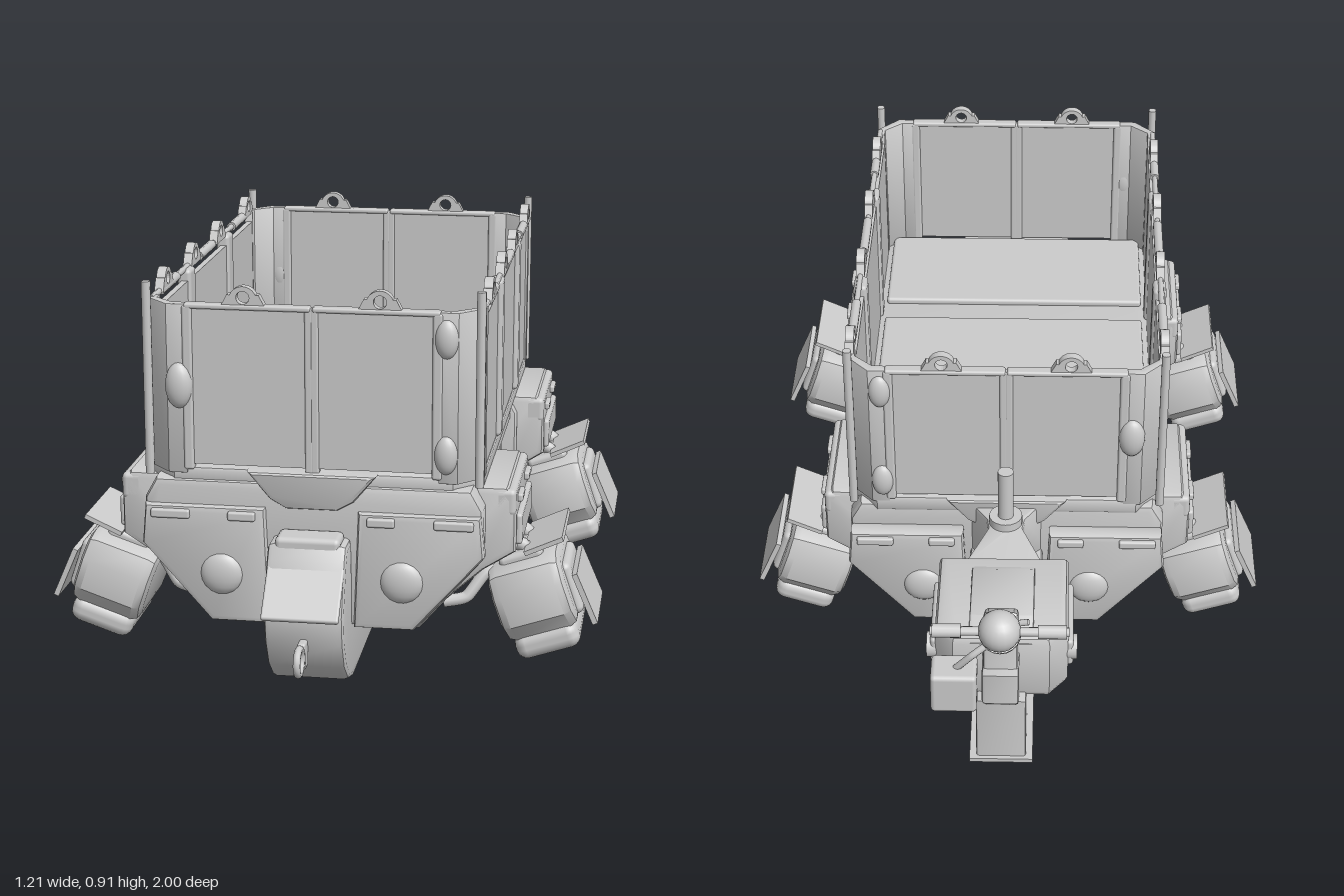
import * as THREE from 'three';
import { toCreasedNormals } from 'three/addons/utils/BufferGeometryUtils.js';
import { RoundedBoxGeometry } from 'three/addons/geometries/RoundedBoxGeometry.js';

const mat = new THREE.MeshStandardMaterial({ color: 0xcccccc, side: THREE.DoubleSide });
const V = (x, y, z) => new THREE.Vector3(x, y, z);

function add(parent, name, geo, x = 0, y = 0, z = 0) {
  const m = new THREE.Mesh(geo, mat);
  m.name = name;
  m.position.set(x, y, z);
  parent.add(m);
  return m;
}
const box = (w, h, d) => new THREE.BoxGeometry(w, h, d);
const rbox = (w, h, d, r = 0.012) => new RoundedBoxGeometry(w, h, d, 2, r);
const cyl = (r, h, r2 = r, n = 20) => new THREE.CylinderGeometry(r, r2, h, n);
const tube = (pts, r) => new THREE.TubeGeometry(new THREE.CatmullRomCurve3(pts.map(p => V(...p)), false, 'catmullrom', 0.3), 30, r, 10);
const sym = half => [...half, ...half.map(([x, y]) => [-x, y]).reverse()];

// Polygon extruded and centred along its own depth, with a bevel inside the outline
function slab(pts, depth, b = 0.012) {
  const g = new THREE.ExtrudeGeometry(new THREE.Shape(pts.map(p => new THREE.Vector2(...p))), {
    depth: depth - 2 * b, bevelEnabled: b > 0, bevelSize: b, bevelThickness: b, bevelOffset: -b, bevelSegments: 2 });
  g.translate(0, 0, -depth / 2 + b);
  return toCreasedNormals(g, 0.6);
}
const profile = (pts, w, b) => slab(pts, w, b).rotateY(-Math.PI / 2); // (z, y) outline, width along x
const plan = (pts, h, b) => slab(pts, h, b).rotateX(Math.PI / 2); // (x, z) outline, height along y

// Lifting eye standing on a rail
function eye(parent, x, y, z, turn) {
  const s = new THREE.Shape([[-0.05, 0], [0.05, 0], [0.034, 0.03]].map(p => new THREE.Vector2(...p)));
  s.absarc(0, 0.018, 0.03, 0.4, Math.PI - 0.4);
  s.lineTo(-0.034, 0.03);
  const hole = new THREE.Path();
  hole.absarc(0, 0.024, 0.014, 0, Math.PI * 2, true);
  s.holes.push(hole);
  const g = new THREE.ExtrudeGeometry(s, { depth: 0.02, bevelEnabled: false, curveSegments: 10 }).translate(0, 0, -0.01);
  add(parent, 'liftingEye', g, x, y, z).rotation.y = turn;
}

// Faceted armour panel with a round hatch and two slots, facing +z
function fascia(parent, z, turn) {
  const g = new THREE.Group();
  g.name = 'endPanels';
  for (const s of [-1, 1]) {
    add(g, 'endPanel', slab([[0.09, 0.17], [0.22, 0.17], [0.37, 0.34], [0.362, 0.43], [0.10, 0.43]].map(([x, y]) => [s * x, y]), 0.05, 0.014));
    const hatch = add(g, 'roundHatch', new THREE.SphereGeometry(0.047, 24, 10), s * 0.195, 0.28, 0.02);
    hatch.scale.z = 0.45;
    add(g, 'slot', rbox(0.085, 0.02, 0.016, 0.005), s * 0.305, 0.412, 0.025);
    add(g, 'slot', rbox(0.06, 0.02, 0.016, 0.005), s * 0.15, 0.412, 0.025);
  }
  g.position.z = z;
  g.rotation.y = turn;
  parent.add(g);
}

// Leg, joint and foot on the +x side
function legUnit() {
  const g = new THREE.Group();
  g.name = 'leg';
  // Side bulge with shelf and panel
  add(g, 'sideBulge', slab([[0.2, 0.48], [0.41, 0.48], [0.43, 0.455], [0.43, 0.335], [0.36, 0.29], [0.25, 0.19], [0.2, 0.19]], 0.3, 0.015));
  add(g, 'shelf', rbox(0.05, 0.06, 0.3), 0.405, 0.445, 0);
  add(g, 'sidePlate', rbox(0.02, 0.07, 0.25, 0.008), 0.432, 0.38, 0);
  for (const s of [-1, 1]) add(g, 'sideSlot', rbox(0.014, 0.018, 0.06, 0.005), 0.434, 0.446, s * 0.08);
  // Arms
  for (const s of [-1, 1]) {
    add(g, 'arm', tube([[0.33, 0.3, s * 0.06], [0.39, 0.335, s * 0.06], [0.44, 0.32, s * 0.05], [0.465, 0.26, s * 0.05]], 0.016));
    add(g, 'strut', tube([[0.27, 0.2, s * 0.1], [0.32, 0.21, s * 0.09], [0.36, 0.26, s * 0.07], [0.42, 0.27, s * 0.05]], 0.014));
  }
  add(g, 'ankle', new THREE.SphereGeometry(0.055, 20, 14), 0.395, 0.27, 0);
  // Tilted foot
  const f = new THREE.Group();
  f.name = 'foot';
  f.position.set(0.472, 0.195, 0);
  f.rotation.z = 0.33;
  add(f, 'footBody', profile(sym([[0.1, -0.06], [0.132, -0.02], [0.135, 0.05], [0.115, 0.095], [0.08, 0.11]]), 0.165, 0.022));
  add(f, 'footPad', rbox(0.145, 0.06, 0.22, 0.025), 0, -0.08, 0);
  add(f, 'footCover', rbox(0.04, 0.12, 0.17, 0.015), 0.077, 0.015, 0);
  add(f, 'outerGuard', box(0.012, 0.12, 0.2), 0.108, -0.01, 0).rotation.z = 0.08;
  add(f, 'topCap', rbox(0.1, 0.03, 0.17), 0, 0.11, 0);
  add(f, 'topGuard', box(0.09, 0.01, 0.21), 0.06, 0.13, 0).rotation.z = 0.1;
  g.add(f);
  return g;
}

export function createModel() {
  const root = new THREE.Group();
  root.name = 'cargoCarrier';

  // Hull: two end blocks, a narrower middle and a belly plate
  const hull = new THREE.Group();
  hull.name = 'hull';
  root.add(hull);
  for (const z of [0.615, -0.17])
    add(hull, 'endBlock', slab(sym([[0.23, 0.17], [0.365, 0.33], [0.365, 0.44], [0.34, 0.485]]), 0.37, 0.015), 0, 0, z);
  add(hull, 'middleBlock', slab(sym([[0.22, 0.17], [0.31, 0.26], [0.31, 0.42], [0.35, 0.43], [0.35, 0.5]]), 0.46, 0), 0, 0, 0.22);
  add(hull, 'bellyPlate', rbox(0.4, 0.03, 0.9, 0.012), 0, 0.165, 0.2);
  for (const s of [-1, 1]) {
    for (const z of [0.08, 0.36]) add(hull, 'sideRib', rbox(0.05, 0.17, 0.05), s * 0.31, 0.34, z);
    add(hull, 'pipeSocket', cyl(0.05, 0.06), s * 0.325, 0.25, 0.22).rotation.z = Math.PI / 2;
  }
  fascia(hull, 0.79, 0);
  fascia(hull, -0.375, Math.PI);
  // Scoop below the bed at both ends
  for (const [z, t] of [[0.77, 0], [-0.33, Math.PI]])
    add(hull, 'scoop', slab(sym([[0.055, 0.43], [0.09, 0.45], [0.14, 0.51]]), 0.08, 0.01), 0, 0, z).rotation.y = t;

  // Legs
  for (const z of [0.595, -0.155]) for (const turn of [0, Math.PI]) {
    const l = legUnit();
    l.position.z = z;
    l.rotation.y = turn;
    root.add(l);
  }

  // Underside pipes
  add(root, 'crossPipe', tube([[-0.36, 0.26, 0.22], [-0.33, 0.18, 0.22], [-0.28, 0.145, 0.22], [0, 0.145, 0.22], [0.28, 0.145, 0.22], [0.33, 0.18, 0.22], [0.36, 0.26, 0.22]], 0.015));
  for (const s of [-1, 1]) {
    add(root, 'longPipe', tube([[s * 0.08, 0.145, 0.5], [s * 0.2, 0.145, 0.45], [s * 0.25, 0.145, 0.36], [s * 0.25, 0.145, 0.22]], 0.015));
    add(root, 'pipeSleeve', cyl(0.021, 0.09), s * 0.25, 0.145, 0.3).rotation.x = Math.PI / 2;
  }

  // Nose keel with visor, pad and tow ring
  const nose = new THREE.Group();
  nose.name = 'nose';
  root.add(nose);
  add(nose, 'keel', profile([[0.47, 0.2], [0.47, 0.045], [0.76, 0.04], [0.83, 0.06], [0.88, 0.105], [0.91, 0.165], [0.918, 0.23], [0.88, 0.34], [0.86, 0.37], [0.8, 0.37], [0.78, 0.2]], 0.17, 0.012));
  add(nose, 'visor', rbox(0.165, 0.13, 0.014, 0.005), 0, 0.282, 0.915).rotation.x = -0.75;
  add(nose, 'hood', rbox(0.14, 0.04, 0.07), 0, 0.365, 0.83);
  add(nose, 'landingPad', cyl(0.07, 0.04, 0.058, 28), 0, 0.024, 0.56);
  add(nose, 'towRing', new THREE.TorusGeometry(0.027, 0.008, 10, 28), 0, 0.148, 0.965).rotation.y = Math.PI / 2;
  add(nose, 'towBar', rbox(0.018, 0.06, 0.04, 0.006), 0, 0.148, 0.92);

  // Open cargo bed
  const bed = new THREE.Group();
  bed.name = 'cargoBed';
  root.add(bed);
  const octagon = (x, z, c) => sym([[x - c, -z], [x, -z + c], [x, z - c], [x - c, z]]);
  add(bed, 'bedFloor', plan(octagon(0.36, 0.575, 0.06), 0.04, 0.008), 0, 0.49, 0.215);
  for (const [z, d] of [[-0.185, 0.31], [0.21, 0.33], [0.61, 0.31]])
    add(bed, 'floorPad', rbox(0.66, 0.02, d, 0.008), 0, 0.515, z);
  const posts = [0.42, 0.01];
  const spans = [[0.72, 0.44], [0.4, 0.03], [-0.01, -0.29]];
  for (const s of [-1, 1]) {
    for (const [a, b] of spans) {
      add(bed, 'sidePanel', box(0.014, 0.335, a - b), s * 0.35, 0.672, (a + b) / 2);
      add(bed, 'railSleeve', cyl(0.011, 0.14, 0.011, 10), s * 0.355, 0.863, (a + b) / 2).rotation.x = Math.PI / 2;
    }
    for (const z of posts) add(bed, 'sidePost', rbox(0.032, 0.36, 0.055, 0.01), s * 0.352, 0.685, z);
    add(bed, 'sideRail', cyl(0.007, 1.04, 0.007, 8), s * 0.355, 0.863, 0.215).rotation.x = Math.PI / 2;
    for (const z of [0.62, 0.35, 0.08, -0.25]) eye(bed, s * 0.355, 0.86, z, Math.PI / 2);
    // End walls and chamfered corners
    for (const [z, e] of [[0.785, 1], [-0.35, -1]]) {
      add(bed, 'endWallPanel', box(0.25, 0.34, 0.014), s * 0.135, 0.688, z);
      add(bed, 'endWallRail', rbox(0.27, 0.012, 0.026, 0.005), s * 0.137, 0.863, z);
      add(bed, 'endWallStile', rbox(0.022, 0.36, 0.026, 0.006), s * 0.266, 0.685, z);
      add(bed, 'centrePost', rbox(0.018, 0.36, 0.022, 0.005), s * 0.006, 0.685, z);
      eye(bed, s * 0.145, 0.86, z, 0);
      const corner = [[0.27, 0.01], [0.31, 0.01], [0.362, -0.045], [0.362, -0.075], [0.342, -0.075], [0.342, -0.05], [0.3, -0.012], [0.27, -0.012]];
      add(bed, 'cornerPost', plan(corner.map(([x, d]) => [s * x, z + e * d]), 0.37, 0.003), 0, 0.682, 0);
      add(bed, 'cornerRod', cyl(0.01, 0.42, 0.01, 10), s * 0.355, 0.7, z - e * 0.005);
      // Corner lamps: one on the right, two on the left
      for (const y of s < 0 ? [0.69] : [0.81, 0.56]) {
        const lamp = add(bed, 'cornerLamp', new THREE.SphereGeometry(s < 0 ? 0.05 : 0.042, 18, 12), s * 0.285, y, z + e * 0.008);
        lamp.scale.set(0.6, 1, 0.45);
      }
    }
  }

  // Rear tail and crane
  const crane = new THREE.Group();
  crane.name = 'rearCrane';
  root.add(crane);
  add(crane, 'tail', profile([[-0.34, 0.36], [-0.34, 0.17], [-0.39, 0.18], [-0.45, 0.23], [-0.5, 0.29], [-0.525, 0.36]], 0.17, 0.012));
  add(crane, 'waistBeam', plan(sym([[0.09, -0.57], [0.04, -0.44], [0.045, -0.41], [0.09, -0.34]]), 0.14, 0.008), 0, 0.42, 0);
  add(crane, 'pivot', cyl(0.038, 0.03), 0, 0.495, -0.42);
  add(crane, 'mast', cyl(0.018, 0.16), 0, 0.555, -0.42);
  add(crane, 'headBody', plan(sym([[0.105, -0.84], [0.145, -0.79], [0.145, -0.56]]), 0.17, 0.018), 0, 0.42, 0);
  add(crane, 'headRidge', profile([[-0.57, 0.49], [-0.62, 0.515], [-0.78, 0.52], [-0.84, 0.49]], 0.14, 0.005));
  add(crane, 'headBack', profile([[-0.82, 0.47], [-0.82, 0.35], [-0.88, 0.35], [-0.92, 0.39], [-0.92, 0.47]], 0.08, 0.008));
  for (const s of [-1, 1]) {
    add(crane, 'sideRib', rbox(0.02, 0.07, 0.2, 0.009), s * 0.147, 0.42, -0.69);
    add(crane, 'sideKnob', cyl(0.028, 0.03), s * 0.15, 0.42, -0.765).rotation.z = Math.PI / 2;
  }
  add(crane, 'pedestal', profile([[-0.67, 0.35], [-0.67, 0.18], [-0.87, 0.18], [-0.87, 0.35]], 0.11, 0.006));
  add(crane, 'pedestalFoot', box(0.14, 0.01, 0.22), 0, 0.181, -0.77);
  // Neck, joint ball and crossbar
  add(crane, 'neckBase', profile([[-0.76, 0.49], [-0.78, 0.54], [-0.84, 0.58], [-0.89, 0.53], [-0.9, 0.45]], 0.075, 0.01));
  add(crane, 'neck', cyl(0.035, 0.16), 0, 0.56, -0.885).rotation.x = -0.8;
  add(crane, 'neckCollar', cyl(0.045, 0.03), 0, 0.585, -0.91).rotation.x = -0.8;
  add(crane, 'jointBall', new THREE.SphereGeometry(0.045, 20, 14), 0, 0.63, -0.955);
  add(crane, 'crossbar', cyl(0.01, 0.29, 0.01, 10), 0, 0.63, -0.957).rotation.z = Math.PI / 2;
  for (const s of [-1, 1]) add(crane, 'barGrip', cyl(0.015, 0.06, 0.015, 12), s * 0.11, 0.63, -0.957).rotation.z = Math.PI / 2;
  // Control box on the left
  add(crane, 'controlBox', rbox(0.1, 0.1, 0.08, 0.01), 0.1, 0.42, -0.89);
  add(crane, 'controlBoxArm', tube([[0.1, 0.46, -0.89], [0.06, 0.51, -0.9], [0.02, 0.54, -0.89]], 0.008));
  add(crane, 'sideLever', tube([[0, 0.6, -0.91], [-0.03, 0.61, -0.91], [-0.06, 0.62, -0.915]], 0.007));
  return root;
}
